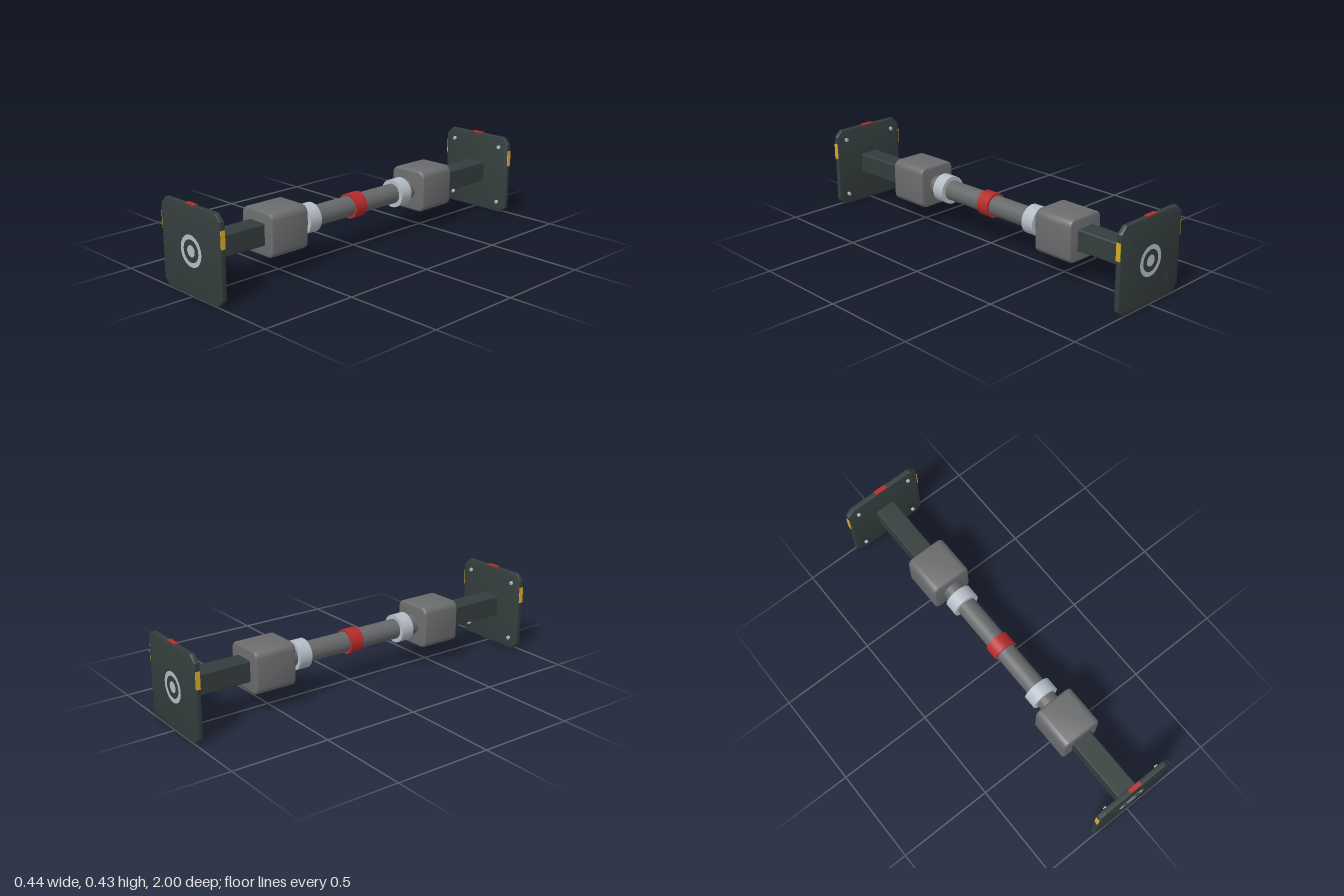
import * as THREE from 'three';
import { toCreasedNormals } from 'three/addons/utils/BufferGeometryUtils.js';

const AXIS_Y = 0.2145;

const paint = (name, color) => {
  const m = new THREE.MeshStandardMaterial({ color });
  m.name = name;
  return m;
};

// Square outline with cut (chamfered) or rounded corners
function squareShape(half, corner, rounded) {
  const s = new THREE.Shape();
  const a = half - corner;
  const corners = [[1, 1], [-1, 1], [-1, -1], [1, -1]];
  corners.forEach(([x, y], i) => {
    if (rounded) {
      s.absarc(x * a, y * a, corner, i * Math.PI / 2, (i + 1) * Math.PI / 2, false);
    } else {
      const p = [[x * half, y * a], [x * a, y * half]];
      if (i % 2) p.reverse();
      p.forEach(([px, py], k) => (i + k ? s.lineTo(px, py) : s.moveTo(px, py)));
    }
  });
  s.closePath();
  return s;
}

// Bevelled slab running from z0 to z1
function slab(shape, z0, z1, bevel, segments, crease) {
  const g = new THREE.ExtrudeGeometry(shape, {
    depth: z1 - z0 - 2 * bevel, bevelSize: bevel, bevelThickness: bevel,
    bevelOffset: -bevel, bevelSegments: segments, curveSegments: 8,
  });
  g.translate(0, 0, z0 + bevel);
  return toCreasedNormals(g, crease);
}

// Cylinder along z from z0 to z1
function rod(radius, z0, z1, sides = 32) {
  return new THREE.CylinderGeometry(radius, radius, z1 - z0, sides)
    .rotateX(Math.PI / 2).translate(0, 0, (z0 + z1) / 2);
}

export function createModel() {
  const dark = paint('dark frame', 0x343d3d);
  const grey = paint('grey housing', 0x6b6c6e);
  const tube = paint('grey tube', 0x66686a);
  const silver = paint('silver metal', 0xb4bcc4);
  const red = paint('red marking', 0xb52b2b);
  const yellow = paint('yellow marking', 0xd9aa2b);

  const model = new THREE.Group();
  model.name = 'strut';
  const core = new THREE.Group();
  core.name = 'core';
  core.position.y = AXIS_Y;
  model.add(core);

  const add = (parent, name, geometry, material, x = 0, y = 0, z = 0) => {
    const m = new THREE.Mesh(geometry, material);
    m.name = name;
    m.position.set(x, y, z);
    parent.add(m);
    return m;
  };

  // Central tube and its band
  add(core, 'centralTube', rod(0.052, -0.41, 0.41), tube);
  add(core, 'centreBand', rod(0.064, -0.037, 0.037), red);

  // Shared geometry for both ends
  const plate = slab(squareShape(0.214, 0.034, false), 0.972, 0.999, 0.004, 2, 0.5);
  const beam = slab(squareShape(0.054, 0.006, false), 0.61, 0.98, 0.002, 1, 0.3);
  const housing = slab(squareShape(0.11, 0.038, true), 0.402, 0.624, 0.012, 3, 0.7);
  const collar = rod(0.074, 0.283, 0.353);
  const faceRing = new THREE.RingGeometry(0.054, 0.076, 40);
  const faceDisc = new THREE.CircleGeometry(0.028, 32);
  const plug = rod(0.017, 0.99, 0.9995, 20);
  const bolt = rod(0.010, 0.962, 0.975, 12);

  // The two mirrored ends
  for (const [name, turn] of [['frontEnd', 0], ['backEnd', Math.PI]]) {
    const end = new THREE.Group();
    end.name = name;
    end.rotation.y = turn;
    core.add(end);
    add(end, 'endPlate', plate, dark);
    add(end, 'squareBeam', beam, dark);
    add(end, 'housing', housing, grey);
    add(end, 'collar', collar, silver);
    add(end, 'faceRing', faceRing, silver, 0, 0, 1);
    add(end, 'faceDisc', faceDisc, silver, 0, 0, 1);

    // Face plugs and rear bolts near the four corners
    for (const sx of [-1, 1]) for (const sy of [-1, 1]) {
      add(end, 'facePlug', plug, dark, sx * 0.127, sy * 0.127, 0);
      add(end, 'rearBolt', bolt, silver, sx * 0.157, sy * 0.157, 0);
    }

    // Coloured edge markings
    add(end, 'topMark', new THREE.BoxGeometry(0.067, 0.006, 0.022), red, 0, 0.2155, 0.9855);
    for (const sx of [-1, 1]) {
      add(end, 'sideMark', new THREE.BoxGeometry(0.006, 0.084, 0.022), yellow,
        sx * 0.2155, 0.1, 0.9855);
    }
  }
  return model;
}
